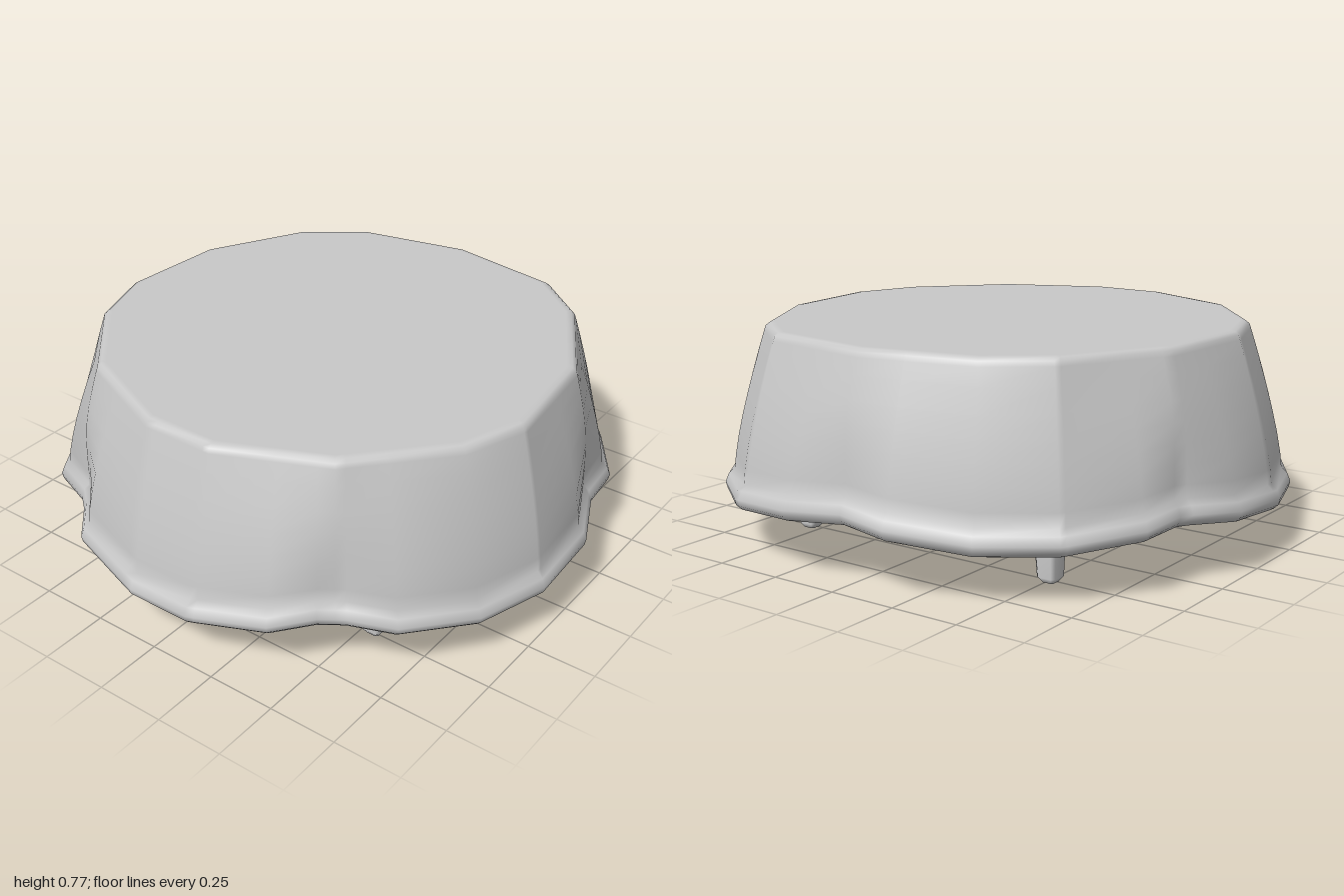
import * as THREE from 'three';

// Plan outlines as [x, z], running from the front towards +x
const HEM = [
  [0.14, 0.99], [0.41, 0.905], [0.52, 0.785], [0.6, 0.73], [0.75, 0.66], [0.92, 0.42], [1, 0.17],
  [1, -0.11], [0.9, -0.33], [0.875, -0.52], [0.71, -0.77], [0.51, -0.92], [0.21, -1], [0, -0.955],
  [-0.2, -0.985], [-0.48, -0.875], [-0.69, -0.72], [-0.865, -0.5], [-0.885, -0.33], [-1, -0.13],
  [-0.985, 0.19], [-0.91, 0.43], [-0.75, 0.665], [-0.57, 0.74], [-0.51, 0.79], [-0.41, 0.905], [-0.1, 0.99],
];
const TOP = [
  [0.14, 0.82], [0.5, 0.66], [0.77, 0.36], [0.85, 0.13], [0.805, -0.27], [0.6, -0.63], [0.41, -0.78], [0, -0.84],
  [-0.4, -0.75], [-0.6, -0.6], [-0.79, -0.25], [-0.82, 0.13], [-0.74, 0.37], [-0.49, 0.66], [-0.12, 0.82],
];
// Hem outline without its five inward folds
const NOTCHES = [2, 3, 8, 13, 18, 23, 24];
const HULL = HEM.filter((p, i) => !NOTCHES.includes(i));

const cross = (a, b) => a[1] * b[0] - a[0] * b[1];
const { lerp, smoothstep } = THREE.MathUtils;

// Distance from the centre to an outline in a given direction
function radiusAt(outline, angle) {
  const d = [Math.sin(angle), Math.cos(angle)];
  for (let i = 0; i < outline.length; i++) {
    const a = outline[i], b = outline[(i + 1) % outline.length];
    if (cross(a, d) >= -1e-9 && cross(d, b) >= -1e-9) {
      return cross(a, b) / cross(d, [b[0] - a[0], b[1] - a[1]]);
    }
  }
  return 0;
}

// Skins a list of closed rings of [x, y, z] whose first and last rings collapse to a point
function loft(rings) {
  const n = rings[0].length, index = [];
  for (let i = 0; i < rings.length - 1; i++) {
    for (let j = 0; j < n; j++) {
      const a = i * n + j, b = i * n + (j + 1) % n;
      if (i > 0) index.push(a, b, b + n);
      if (i < rings.length - 2) index.push(a, b + n, a + n);
      else index.push(a, b, a + n);
    }
  }
  const geometry = new THREE.BufferGeometry();
  geometry.setAttribute('position', new THREE.Float32BufferAttribute(rings.flat(2), 3));
  geometry.setIndex(index);
  geometry.computeVertexNormals();
  return geometry;
}

// Hollow padded cover: underside, inner wall, rolled wavy hem, outer wall, flat top
function coverGeometry() {
  const angles = [...HEM, ...TOP].map(([x, z]) => Math.atan2(x, z)).sort((a, b) => a - b)
    .filter((a, i, all) => i === 0 || a - all[i - 1] > 0.012);
  const hemY = (a) => 0.177 - 0.022 * Math.cos(5 * a) - 0.008 * Math.cos(a);
  const ring = (radius, height) => angles.map((a) => {
    const r = radius(a);
    return [r * Math.sin(a), height(a), r * Math.cos(a)];
  });
  const flat = (scale, y) => ring((a) => radiusAt(TOP, a) * scale, () => y);
  const hem = (scale, lift) => ring((a) => radiusAt(HEM, a) * scale, (a) => hemY(a) + lift);
  // Outer wall bulges slightly, and its folds fade out with height
  const wall = (s) => ring(
    (a) => {
      const base = lerp(radiusAt(HEM, a), radiusAt(HULL, a), smoothstep(s, 0, 0.8)) * 0.967;
      return lerp(base, radiusAt(TOP, a) * 1.025, Math.pow(s, 1.35));
    },
    (a) => lerp(hemY(a) + 0.088, 0.74, s),
  );
  return loft([
    flat(0, 0.618), flat(0.94, 0.618), flat(0.965, 0.613), flat(0.975, 0.6),
    hem(0.94, 0.1), hem(0.955, 0.012), hem(0.978, 0),
    hem(0.995, 0.016), hem(1, 0.038), hem(0.988, 0.068),
    ...[0, 0.1, 0.25, 0.4, 0.55, 0.7, 0.88, 1].map(wall),
    flat(1.018, 0.757), flat(1.003, 0.767), flat(0.98, 0.77), flat(0, 0.77),
  ]);
}

// Tapered square leg with softened corners and a blunt tip, leaning inwards as it rises
function legGeometry(sx, sz) {
  const c = 0.7;
  const section = [[-c, 1], [c, 1], [1, c], [1, -c], [c, -1], [-c, -1], [-1, -c], [-1, c]];
  const ring = (half, y) => section.map(([x, z]) => [x * half - sx * y * 0.07, y, z * half - sz * y * 0.07]);
  return loft([
    ring(0, 0), ring(0.022, 0), ring(0.036, 0.018), ring(0.045, 0.19), ring(0.058, 0.63), ring(0, 0.63),
  ]);
}

export function createModel() {
  const model = new THREE.Group();
  model.name = 'roundStool';
  const grey = new THREE.MeshStandardMaterial({ color: 0xc8c8c8 });
  grey.name = 'plainGrey';

  const cover = new THREE.Mesh(coverGeometry(), grey);
  cover.name = 'seatCover';
  model.add(cover);

  // Four legs under the seat
  for (const sx of [-1, 1]) {
    for (const sz of [-1, 1]) {
      const leg = new THREE.Mesh(legGeometry(sx, sz), grey);
      leg.name = (sz > 0 ? 'front' : 'back') + (sx > 0 ? 'Left' : 'Right') + 'Leg';
      leg.position.set(0.018 + sx * 0.527, 0, -0.008 + sz * 0.5);
      model.add(leg);
    }
  }
  return model;
}
